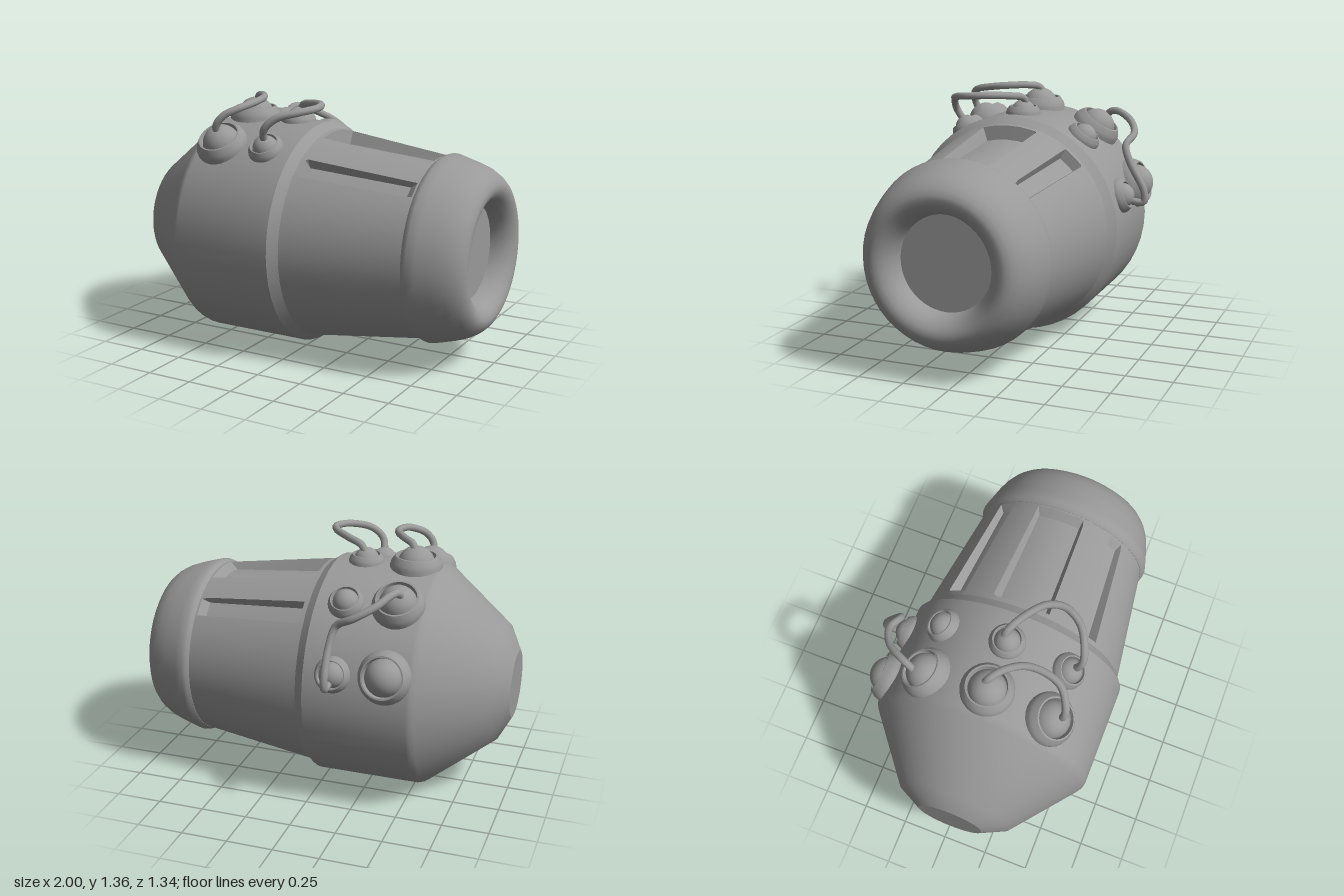
import * as THREE from 'three';
import { toCreasedNormals } from 'three/addons/utils/BufferGeometryUtils.js';

const CY = 0.61, CZ = 0.06; // main axis runs along x through (y, z)
const rad = THREE.MathUtils.degToRad;
const material = new THREE.MeshStandardMaterial({ color: 0x999999 });

function add(parent, name, geometry) {
  const mesh = new THREE.Mesh(geometry, material);
  mesh.name = name;
  parent.add(mesh);
  return mesh;
}

// Surface of revolution from [radius, height] pairs
function lathe(profile, segments, crease) {
  const points = profile.map(([r, h]) => new THREE.Vector2(r, h));
  return toCreasedNormals(new THREE.LatheGeometry(points, segments), crease);
}

// Tapered barrel with three sunken slots, built from rings along x
function slottedBarrel() {
  const slots = [ // start angle, end angle, depth at each end
    [-49, -36, 0.055, 0.035], [-17.5, 14.5, 0.075, 0.045], [34.5, 46, 0.055, 0.035],
  ];
  const inset = 1;
  const angles = [];
  for (let a = -180; a <= 180; a += 7.5) {
    if (!slots.some(([s, e]) => Math.abs(a - s) < 2 || Math.abs(a - e) < 2)) angles.push(a);
  }
  for (const [s, e] of slots) angles.push(s, s + inset, e - inset, e);
  angles.sort((p, q) => p - q);
  const stations = [0.05, 0.08, 0.09, 0.65, 0.69, 0.73];
  const positions = [], index = [];
  stations.forEach((x, i) => {
    const outer = 0.57 - (x - 0.05) * 0.138;
    for (const a of angles) {
      const slot = slots.find(([s, e]) => a > s + inset - 0.01 && a < e - inset + 0.01);
      const sunk = slot && (i === 2 || i === 3);
      const r = sunk ? outer - slot[i] : outer;
      positions.push(x, r * Math.cos(rad(a)), r * Math.sin(rad(a)));
    }
  });
  const n = angles.length;
  for (let i = 0; i < stations.length - 1; i++) {
    for (let j = 0; j < n - 1; j++) {
      const p = i * n + j, q = p + n;
      index.push(p, p + 1, q, p + 1, q + 1, q);
    }
  }
  const g = new THREE.BufferGeometry();
  g.setAttribute('position', new THREE.Float32BufferAttribute(positions, 3));
  g.setIndex(index);
  return toCreasedNormals(g, rad(25));
}

// Terminal: chamfered collar holding a ball, standing on the shell at an angle from the top
function terminal(parent, name, x, angle, size) {
  const g = new THREE.Group();
  g.name = name;
  g.position.set(x, 0, 0);
  g.rotation.x = rad(angle);
  const collar = add(g, 'collar', lathe([
    [1, -0.75], [1, 0.08], [0.95, 0.24], [0.8, 0.45], [0.74, 0.45], [0.7, 0.2],
  ], 28, rad(40)));
  const ball = add(g, 'ball', new THREE.SphereGeometry(0.72, 28, 16));
  ball.position.y = 0.08;
  for (const part of [collar, ball]) {
    part.scale.setScalar(size);
    part.position.y = 0.6 + part.position.y * size;
  }
  parent.add(g);
}

export function createModel() {
  const model = new THREE.Group();
  model.name = 'canister';
  const axis = new THREE.Group();
  axis.name = 'body';
  axis.position.set(0, CY, CZ);
  model.add(axis);

  // Wide shell with a tapered closed end and a chamfered shoulder
  const shell = add(axis, 'shell', lathe([
    [0, -1], [0.18, -1], [0.315, -0.93], [0.585, -0.59], [0.599, -0.57], [0.605, -0.55],
    [0.605, 0.005], [0.569, 0.055],
  ], 48, rad(27)));
  shell.rotation.z = -Math.PI / 2;

  add(axis, 'slottedBarrel', slottedBarrel());

  // Rolled rim with a recessed mouth
  const rim = add(axis, 'rim', lathe([
    [0.46, 0.7], [0.482, 0.7], [0.494, 0.715], [0.499, 0.735], [0.487, 0.78], [0.467, 0.85],
    [0.445, 0.91], [0.418, 0.955], [0.392, 0.982], [0.365, 0.997], [0.34, 1], [0.315, 0.992],
    [0.29, 0.974], [0.268, 0.945], [0.255, 0.91], [0.247, 0.87],
  ], 48, rad(50)));
  rim.rotation.z = -Math.PI / 2;
  const mouth = add(axis, 'mouthFloor', new THREE.CircleGeometry(0.25, 48));
  mouth.rotation.y = Math.PI / 2;
  mouth.position.x = 0.88;

  // Two rows of terminals around the shell
  for (const angle of [34, 0, -34, -71]) {
    terminal(axis, 'largeTerminal', -0.43, angle, 0.14);
    terminal(axis, 'smallTerminal', -0.155, angle - (angle < 0 ? 2 : 0), 0.096);
  }

  // Cables looping between terminals
  const cables = [
    [[-0.43, 1.29, 0.04], [-0.41, 1.33, 0.06], [-0.35, 1.345, 0.11], [-0.29, 1.345, 0.2],
      [-0.28, 1.335, 0.3], [-0.31, 1.315, 0.4], [-0.38, 1.275, 0.455], [-0.42, 1.22, 0.465],
      [-0.43, 1.15, 0.43]],
    [[-0.155, 1.26, 0.04], [-0.13, 1.3, 0.05], [-0.04, 1.32, 0.1], [0.06, 1.33, 0.19],
      [0.083, 1.325, 0.28], [0.03, 1.312, 0.38], [-0.07, 1.28, 0.44], [-0.13, 1.22, 0.455],
      [-0.155, 1.12, 0.4]],
    [[-0.46, 1.16, -0.32], [-0.45, 1.205, -0.36], [-0.43, 1.21, -0.41], [-0.37, 1.17, -0.5],
      [-0.27, 1.115, -0.55], [-0.18, 1.06, -0.53], [-0.155, 0.97, -0.565], [-0.155, 0.82, -0.645],
      [-0.155, 0.76, -0.645], [-0.155, 0.76, -0.58]],
  ];
  for (const path of cables) {
    const curve = new THREE.CatmullRomCurve3(path.map((p) => new THREE.Vector3(...p)));
    add(model, 'cable', new THREE.TubeGeometry(curve, 60, 0.02, 10));
  }
  return model;
}
